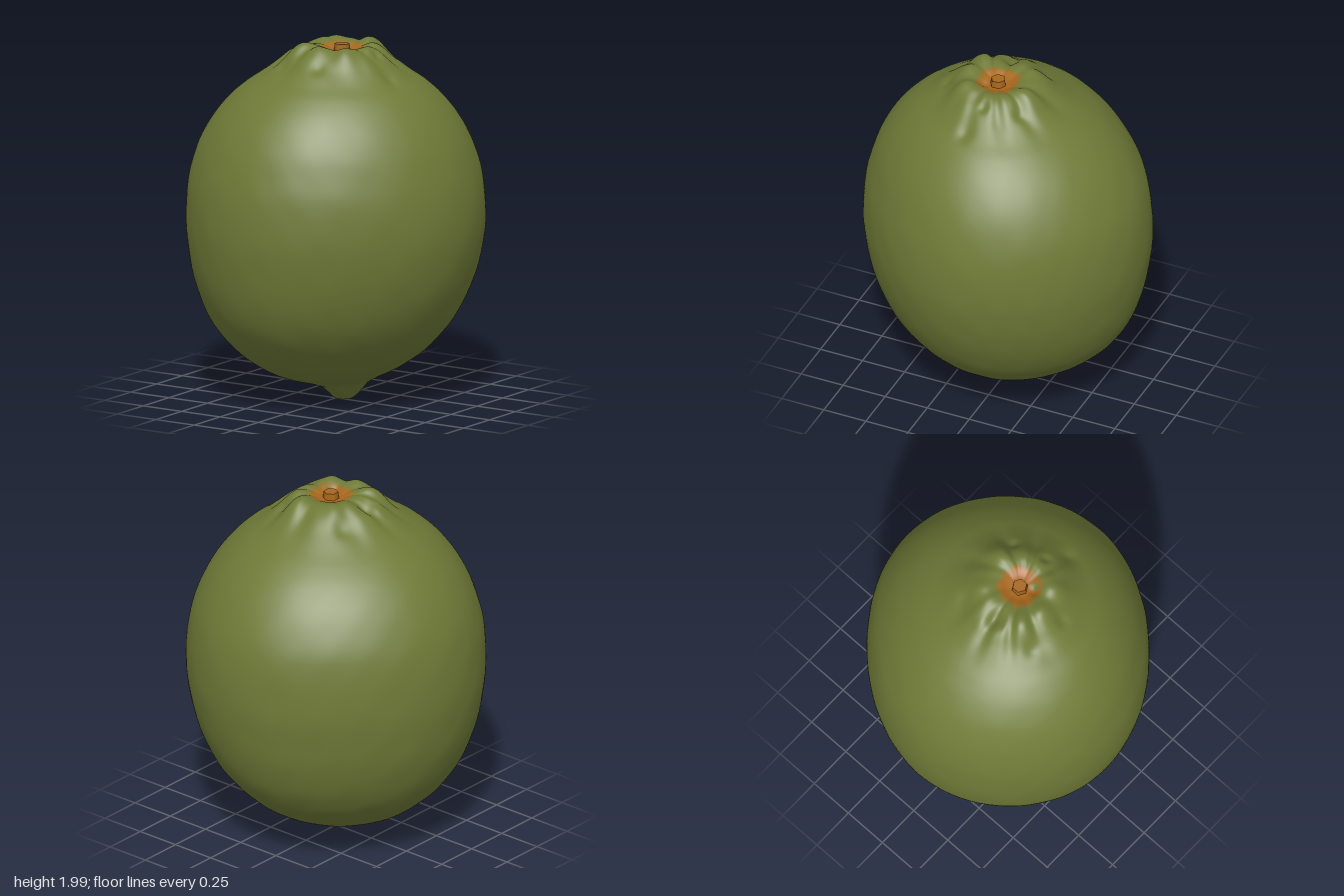
import * as THREE from 'three';
import { mergeVertices } from 'three/addons/utils/BufferGeometryUtils.js';

const SCAR = { x: 0.06, z: 0.03 };

// Outline from the nub to the stem pit: radius, height, axis offset x, axis offset z
const PROFILE = [
  [0, 0, 0.05, 0], [0.05, 0.011, 0.05, 0], [0.088, 0.046, 0.052, 0],
  [0.13, 0.082, 0.04, 0], [0.19, 0.107, 0, 0], [0.275, 0.135, -0.035, 0],
  [0.375, 0.185, -0.04, 0], [0.475, 0.26, -0.037, 0], [0.565, 0.35, -0.032, 0],
  [0.64, 0.455, -0.025, 0], [0.698, 0.57, -0.018, 0], [0.742, 0.69, -0.012, 0],
  [0.772, 0.82, -0.006, 0], [0.79, 0.96, -0.002, 0], [0.79, 1.1, 0, 0],
  [0.776, 1.23, 0, 0], [0.747, 1.35, 0, 0], [0.702, 1.465, 0.003, 0.005],
  [0.642, 1.57, 0.007, 0.01], [0.567, 1.665, 0.013, 0.015], [0.485, 1.742, 0.02, 0.02],
  [0.4, 1.805, 0.025, 0.023], [0.32, 1.868, 0.03, 0.027], [0.245, 1.928, 0.032, 0.03],
  [0.175, 1.96, 0.045, 0.03], [0.115, 1.958, 0.06, 0.03], [0.06, 1.938, 0.06, 0.03],
  [0, 1.935, 0.06, 0.03],
];

// Lumps and dents of the crown: x, z, size, height
const LUMPS = [
  [0.13, -0.18, 0.08, 0.03], [0.24, -0.06, 0.055, 0.018], [-0.1, -0.09, 0.07, 0.026],
  [-0.1, 0.19, 0.07, 0.028], [0.03, 0.22, 0.05, 0.018], [0.18, 0.2, 0.07, 0.026],
  [0.3, 0.1, 0.06, 0.018], [-0.16, 0.06, 0.05, -0.03], [0.23, -0.17, 0.03, -0.02],
  [0.09, 0.31, 0.04, -0.02], [0.4, 0.07, 0.04, -0.015], [0.1, 0.1, 0.03, -0.015],
  [-0.14, 0.3, 0.04, -0.02], [-0.17, -0.16, 0.04, -0.015], [0.28, 0.02, 0.03, -0.02],
];

// Orange specks on the skin: x, z, radius
const SPECKS = [[0.05, 0, 0.014], [-0.24, -0.325, 0.013]];

const bell = (d, s) => Math.exp(-(d * d) / (s * s));

// One point of the skin at profile position t and angle a
function skinPoint(t, a, outline, axis) {
  const o = outline.getPoint(t), c = axis.getPoint(t);
  let r = Math.max(0, o.x), y = o.y;
  const body = Math.min(1, r / 0.45);

  // Girth is wider along one diagonal
  r *= 1 + body * (0.031 * Math.cos(2 * a + Math.PI / 2) + 0.012 * Math.cos(4 * a));
  // Soft ribs around the nub
  if (y < 0.4) r *= 1 + 0.05 * bell(o.x - 0.14, 0.08) * Math.sin(5 * a + 1);

  let x = c.x + r * Math.cos(a), z = c.y + r * Math.sin(a) * (1.013 + 0.025 * bell(y - 0.45, 0.25));

  // Faint dimples, stronger towards the nub
  const dimple = Math.sin(19 * x + 5 * z) * Math.sin(17 * y + 6 * x) * Math.sin(21 * z - 4 * y);
  const bump = 1 + body * (0.002 + 0.012 * bell(y - 0.15, 0.2)) * dimple;
  x *= bump;
  z *= bump;

  // Puckered folds and lumps around the stem
  if (y > 1.4) {
    const fold = Math.sin(9 * a + 1.7 * Math.sin(2 * a + 1) + 5 * o.x);
    y += 0.011 * bell(o.x - 0.25, 0.11) * (fold - 0.5 * fold * fold);
    for (const [lx, lz, size, h] of LUMPS) y += h * bell(Math.hypot(x - lx, z - lz), size);
  }
  return [x, y, z];
}

// Colour group of a skin face: 0 peel, 1 scar edge, 2 scar
function colourSlot(x, y, z) {
  if (y < 0.4) return SPECKS.some(([sx, sz, r]) => Math.hypot(x - sx, z - sz) < r) ? 2 : 0;
  if (y < 1.5 || Math.hypot(x - 0.12, z - 0.085) < 0.022) return 0;
  const dx = x - SCAR.x, dz = z - SCAR.z, a = Math.atan2(dz, dx);
  const d = Math.hypot(dx, dz) + 0.006 * Math.cos(4 * a) + 0.005 * Math.sin(9 * a);
  return d < 0.102 ? 2 : d < 0.122 ? 1 : 0;
}

// Closed skin, its faces sorted into the colour groups
function fruitGeometry(rows, cols) {
  const curve = k => new THREE.CatmullRomCurve3(
    PROFILE.map(p => new THREE.Vector3(p[k], p[k + 1], 0)), false, 'catmullrom', 0.5);
  const outline = curve(0), axis = curve(2);
  const pos = [];
  for (let i = 0; i <= rows; i++) {
    for (let j = 0; j < cols; j++) pos.push(...skinPoint(i / rows, (j / cols) * Math.PI * 2, outline, axis));
  }

  const faces = [[], [], []];
  const addFace = (...ids) => {
    const centre = [0, 1, 2].map(k => ids.reduce((s, id) => s + pos[id * 3 + k], 0) / 3);
    faces[colourSlot(...centre)].push(...ids);
  };
  for (let i = 0; i < rows; i++) {
    for (let j = 0; j < cols; j++) {
      const a = i * cols + j, b = i * cols + (j + 1) % cols, c = a + cols, d = b + cols;
      if (i > 0) addFace(a, c, b);
      if (i < rows - 1) addFace(b, c, d);
    }
  }

  let geo = new THREE.BufferGeometry();
  geo.setAttribute('position', new THREE.Float32BufferAttribute(pos, 3));
  geo.setIndex(faces.flat());
  let start = 0;
  faces.forEach((f, m) => { geo.addGroup(start, f.length, m); start += f.length; });
  geo = mergeVertices(geo, 1e-5);
  geo.computeVertexNormals();
  return geo;
}

export function createModel() {
  const material = (name, color) => Object.assign(new THREE.MeshStandardMaterial({ color }), { name });
  const peel = material('green peel', 0x6f7a37);
  const edge = material('faded scar edge', 0x8c7029);
  const scar = material('orange scar', 0xa8671d);

  const group = new THREE.Group();
  group.name = 'citrusFruit';

  const fruit = new THREE.Mesh(fruitGeometry(216, 180), [peel, edge, scar]);
  fruit.name = 'fruitSkin';
  group.add(fruit);

  // Small stem button in the pit
  const button = new THREE.Mesh(new THREE.CylinderGeometry(0.04, 0.046, 0.045, 6), scar);
  button.name = 'stemButton';
  button.position.set(SCAR.x, 1.95, SCAR.z);
  group.add(button);

  // Centre over the origin
  const mid = new THREE.Box3().setFromObject(group).getCenter(new THREE.Vector3());
  group.position.set(-mid.x, 0, -mid.z);
  return group;
}
